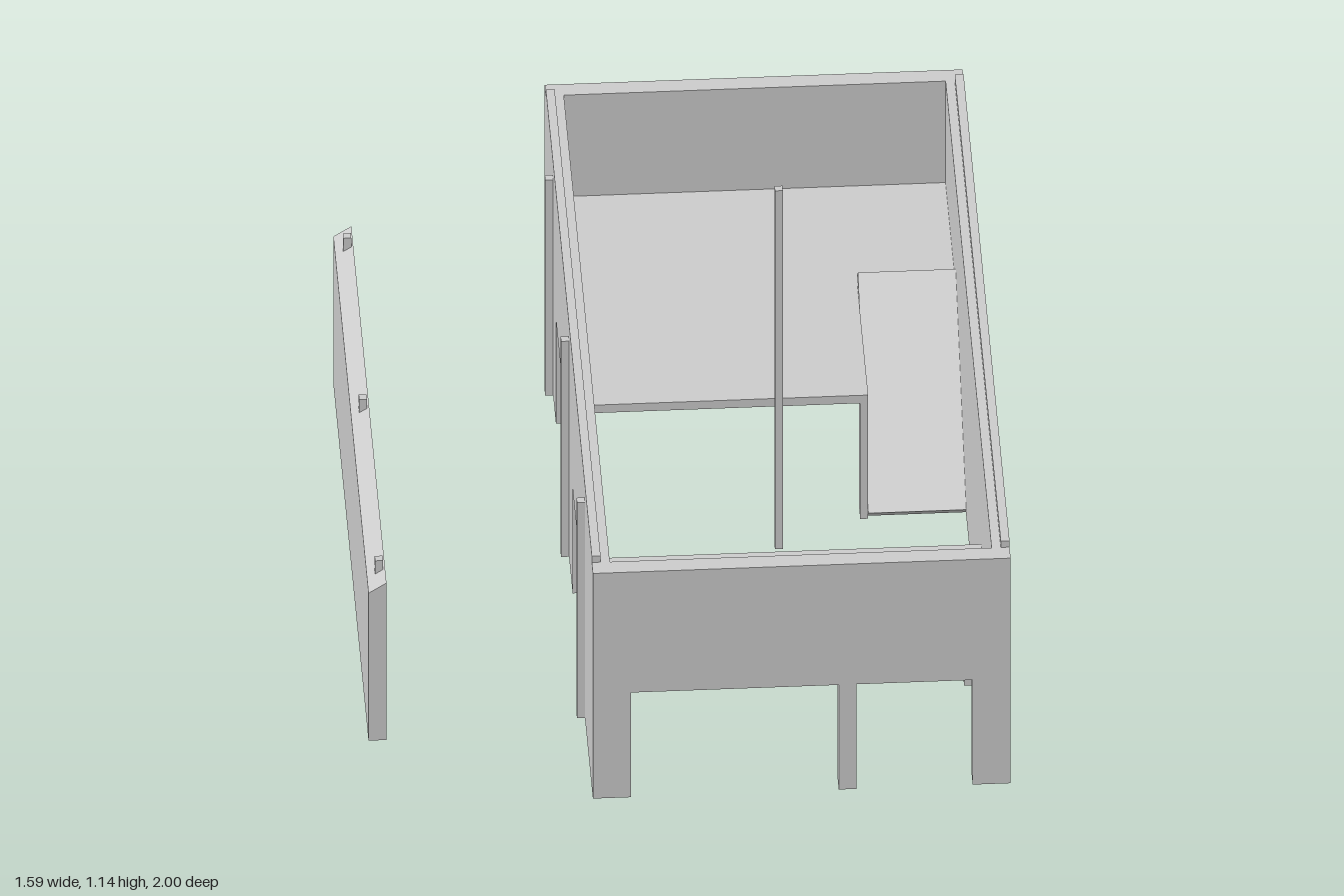
import * as THREE from 'three';

const material = new THREE.MeshStandardMaterial({ color: 0xcccccc, flatShading: true });

// Box given by its minimum and maximum along x, y and z
function box(name, x0, x1, y0, y1, z0, z1) {
  const mesh = new THREE.Mesh(new THREE.BoxGeometry(x1 - x0, y1 - y0, z1 - z0), material);
  mesh.name = name;
  mesh.position.set((x0 + x1) / 2, (y0 + y1) / 2, (z0 + z1) / 2);
  return mesh;
}

// Flat outline extruded along +z
function plate(name, points, depth) {
  const shape = new THREE.Shape(points.map(([x, y]) => new THREE.Vector2(x, y)));
  const geometry = new THREE.ExtrudeGeometry(shape, { depth, bevelEnabled: false });
  const mesh = new THREE.Mesh(geometry, material);
  mesh.name = name;
  return mesh;
}

export function createModel() {
  const model = new THREE.Group();
  model.name = 'openBoxHouse';
  const T = 0.045, BASE = 0.01, TOP = 0.72, LINTEL = 0.34, DECK = 0.4;
  const L = -0.25, R = 0.795;

  // End walls with a wide doorway, and a post in the middle of each
  const endOutline = [
    [L, BASE], [-0.155, BASE], [-0.155, LINTEL], [0.7, LINTEL],
    [0.7, BASE], [R, BASE], [R, TOP], [L, TOP],
  ];
  for (const [side, z] of [['front', 1 - T], ['back', -1]]) {
    const wall = plate(side + 'Wall', endOutline, T);
    wall.position.z = z;
    model.add(wall, box(side + 'DoorPost', 0.365, 0.41, BASE, LINTEL, z, z + T));
  }

  // Solid side wall, and the opposite wall with two doorways
  const s = 1 - T;
  model.add(box('solidSideWall', R - T, R, BASE, TOP, -s, s));
  const openWall = plate('openSideWall', [
    [-s, BASE], [-0.535, BASE], [-0.535, LINTEL], [-0.16, LINTEL], [-0.16, BASE], [0.16, BASE],
    [0.16, LINTEL], [0.535, LINTEL], [0.535, BASE], [s, BASE], [s, TOP], [-s, TOP],
  ], T);
  openWall.rotation.y = -Math.PI / 2;
  openWall.position.x = L + T;
  model.add(openWall);

  // Raised lips along the side walls
  model.add(box('wallLip', L, L + 0.022, TOP, 0.74, -s, s));
  model.add(box('wallLip', R - 0.022, R, TOP, 0.74, -s, s));

  // Decks; the back one is cut out for the ramp
  const backDeck = plate('backDeck', [
    [L + T, -s], [R - T, -s], [R - T, -0.485], [0.505, -0.485], [0.505, -0.1], [L + T, -0.1],
  ], 0.025);
  backDeck.rotation.x = Math.PI / 2;
  backDeck.position.y = DECK;
  model.add(backDeck);
  model.add(box('frontDeck', L + T, R - T, DECK - 0.025, DECK, 0.525, s));
  model.add(box('frontDeckLeg', 0.703, R - T, BASE, DECK - 0.025, 0.55, 0.595));
  model.add(box('backDeckLeg', 0.485, 0.505, BASE, DECK - 0.025, -0.145, -0.1));

  // Sloping ramp slab from the ground to the back deck
  const ramp = plate('ramp', [[-0.125, 0], [-0.095, 0.031], [-0.53, 0.455], [-0.56, 0.424]], 0.25);
  ramp.rotation.y = -Math.PI / 2;
  ramp.position.x = 0.755;
  model.add(ramp);

  // Tall centre pole
  model.add(box('centrePole', 0.265, 0.285, BASE, 1.14, -0.01, 0.01));

  // Detached panel with a slanted top
  const panel = plate('detachedPanel', [
    [-0.795, BASE], [-0.75, BASE], [-0.75, 0.505], [-0.795, 0.475],
  ], 1.46);
  panel.position.z = -0.73;
  model.add(panel);

  // Poles outside the open wall and matching pins on the panel
  for (const z of [-0.66, 0, 0.66]) {
    model.add(box('outerPole', -0.27, -0.25, BASE, 0.69, z - 0.01, z + 0.01));
    model.add(box('panelPin', -0.775, -0.755, 0.45, 0.53, z - 0.01, z + 0.01));
  }
  return model;
}
